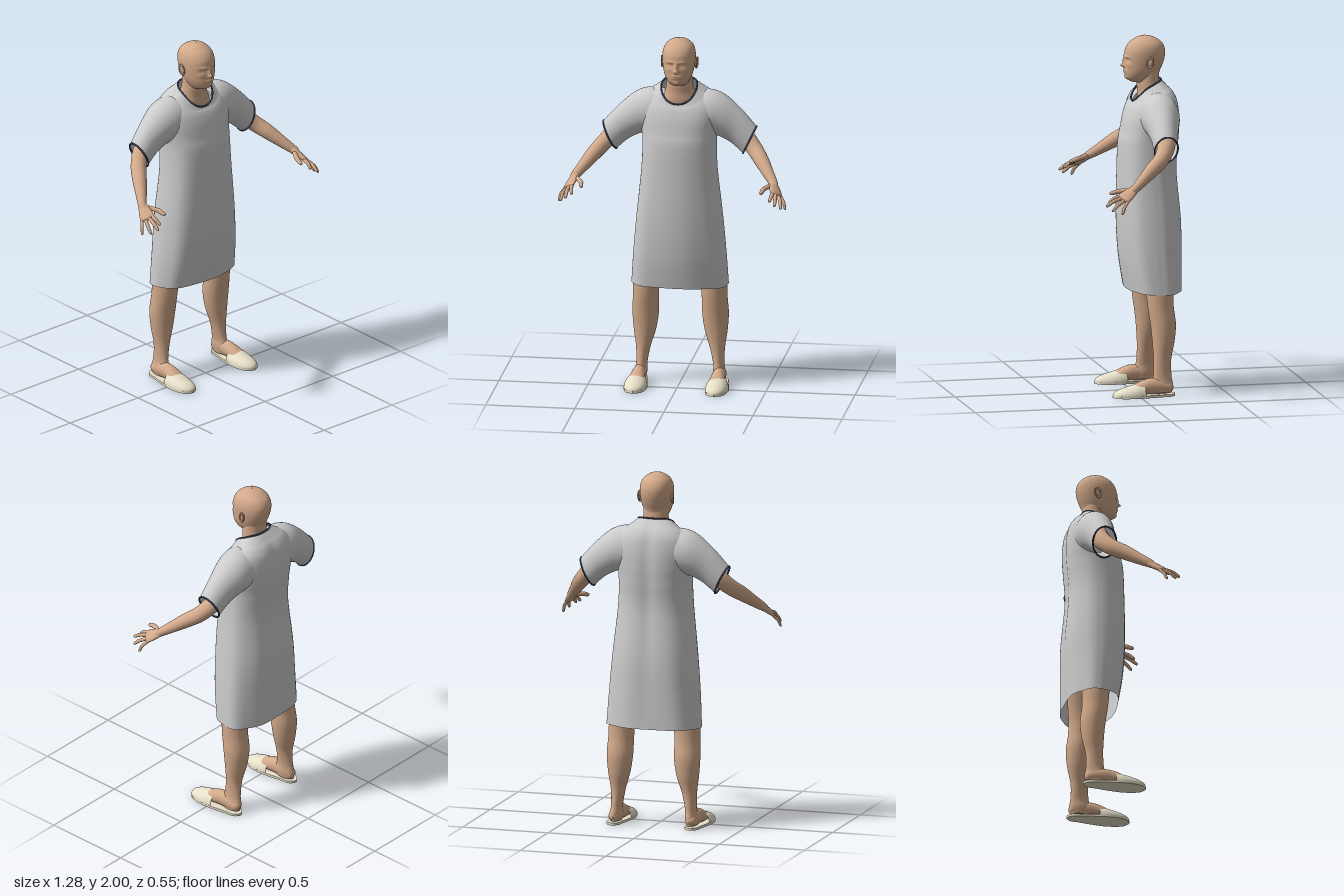
import * as THREE from 'three';
import { ParametricGeometry } from 'three/addons/geometries/ParametricGeometry.js';

const mat = (color, side = THREE.FrontSide) => new THREE.MeshStandardMaterial({ color, side, roughness: 0.8 });
const skin = mat(0xd2a98a);
const cloth = mat(0xcccccc, THREE.DoubleSide);
const trim = mat(0x3f4862);
const cream = mat(0xe6dfc8, THREE.DoubleSide);

// Smooth interpolation through the rows of a cross-section table
function sample(rows, v) {
  const n = rows.length - 1;
  const t = Math.min(Math.max(v, 0), 1) * n;
  const i = Math.min(Math.floor(t), n - 1), f = t - i;
  const p0 = rows[Math.max(i - 1, 0)], p1 = rows[i], p2 = rows[i + 1], p3 = rows[Math.min(i + 2, n)];
  return p1.map((b, k) => {
    const a = p0[k], c = p2[k], d = p3[k];
    return b + 0.5 * f * (c - a + f * (2 * a - 5 * b + 4 * c - d + f * (3 * (b - c) + d - a)));
  });
}
const bend = (c, n) => Math.sign(c) * Math.abs(c) ** (2 / n);

// Upright loft; row: [y, half width, front z, back z, centre x, front drop]
function upright(rows, n = 2) {
  return (u, v, p) => {
    const [y, w, zf, zb, cx = 0, drop = 0] = sample(rows, v);
    const a = u * Math.PI * 2, c = Math.cos(a);
    return p.set(cx + w * bend(Math.sin(a), n), y - drop * ((1 + c) / 2) ** 2,
      (zf + zb) / 2 + (zf - zb) / 2 * bend(c, n));
  };
}

// Tube along a path; row: [x, y, z, radius along ref, radius across]
function limb(rows, ref = new THREE.Vector3(0, 0, 1)) {
  const at = v => new THREE.Vector3(...sample(rows, v));
  return (u, v, p) => {
    const r = sample(rows, v);
    const T = at(v + 0.01).sub(at(v - 0.01)).normalize();
    const A = ref.clone().addScaledVector(T, -ref.dot(T)).normalize();
    const B = T.clone().cross(A), a = u * Math.PI * 2;
    return p.set(r[0], r[1], r[2]).addScaledVector(A, r[3] * Math.cos(a)).addScaledVector(B, r[4] * Math.sin(a));
  };
}

function mirrored(geometry) {
  const g = geometry.clone().scale(-1, 1, 1);
  if (!g.index) g.setIndex([...Array(g.attributes.position.count).keys()]);
  const ix = g.index.array;
  for (let i = 0; i < ix.length; i += 3) [ix[i], ix[i + 1]] = [ix[i + 1], ix[i]];
  return g;
}

// Piping along the open end of a loft
function piping(func) {
  const pts = [...Array(32)].map((_, i) => func(i / 32, 1, new THREE.Vector3()));
  return new THREE.TubeGeometry(new THREE.CatmullRomCurve3(pts, true), 64, 0.005, 6, true);
}

export function createModel() {
  const model = new THREE.Group();
  const add = (name, geometry, material) => {
    const m = new THREE.Mesh(geometry, material);
    m.name = name;
    model.add(m);
  };
  const pair = (name, geometry, material) => {
    add('left' + name, geometry, material);
    add('right' + name, mirrored(geometry), material);
  };
  const surf = (f, s, t) => new ParametricGeometry(f, s, t);

  // Head: egg-shaped loft with the face raised from its front
  const skull = upright([
    [1.738, 0.02, -0.05, -0.1], [1.742, 0.045, -0.005, -0.145], [1.765, 0.062, 0.026, -0.155],
    [1.8, 0.078, 0.034, -0.165], [1.84, 0.087, 0.034, -0.182], [1.885, 0.092, 0.034, -0.194],
    [1.925, 0.09, 0.028, -0.193], [1.96, 0.077, 0.006, -0.175], [1.985, 0.05, -0.03, -0.14],
    [1.997, 0.022, -0.058, -0.104], [2, 0.002, -0.078, -0.082]], 2.1);
  const bumps = [ // x, y, height, x spread, y spread
    [0, 1.834, 0.021, 0.013, 0.011], [0, 1.86, 0.012, 0.009, 0.022], // nose
    [0.034, 1.886, 0.005, 0.024, 0.008], [0.033, 1.867, -0.011, 0.017, 0.01], // brow, socket
    [0.033, 1.866, 0.007, 0.011, 0.006], [0.05, 1.84, 0.004, 0.018, 0.014], // eye, cheek
    [0, 1.801, 0.009, 0.024, 0.01], [0, 1.8, -0.007, 0.022, 0.003], // lips, mouth line
    [0, 1.763, 0.007, 0.02, 0.012]]; // chin
  add('head', surf((u, v, p) => {
    skull(u, v, p);
    if (Math.cos(u * Math.PI * 2) > 0) {
      for (const [x, y, h, sx, sy] of bumps) {
        p.z += h * Math.exp(-(((Math.abs(p.x) - x) / sx) ** 2) - ((p.y - y) / sy) ** 2);
      }
    }
    return p;
  }, 120, 90), skin);
  add('neck', surf(upright([[1.58, 0.13, -0.05, -0.21], [1.64, 0.11, -0.04, -0.2], [1.69, 0.082, -0.04, -0.175],
    [1.74, 0.073, -0.035, -0.162], [1.8, 0.07, -0.04, -0.16]]), 32, 16), skin);

  // Ears: flat shell and raised rim
  const ear = g => g.rotateX(-0.2).rotateY(-0.25).translate(0.093, 1.858, -0.092);
  pair('Ear', ear(new THREE.SphereGeometry(1, 16, 12).scale(0.007, 0.03, 0.017)), skin);
  pair('EarRim', ear(new THREE.TorusGeometry(0.02, 0.0045, 8, 24).rotateY(Math.PI / 2).scale(1, 1.4, 0.85)
    .translate(0.005, 0, 0)), skin);

  // Gown body with soft folds toward the hem
  const body = upright([
    [0.572, 0.27, 0.03, -0.27, 0, -0.008], [0.76, 0.258, 0.06, -0.272, 0, 0], [0.97, 0.24, 0.073, -0.272, 0, 0],
    [1.24, 0.212, 0.07, -0.25, 0, 0], [1.4, 0.206, 0.064, -0.26, 0, 0], [1.48, 0.212, 0.05, -0.265, 0, 0.01],
    [1.57, 0.22, 0.035, -0.264, 0, 0.03], [1.645, 0.212, 0.02, -0.252, 0, 0.06], [1.69, 0.182, 0.008, -0.23, 0, 0.08],
    [1.72, 0.142, 0, -0.202, 0, 0.1], [1.752, 0.1, -0.008, -0.17, 0, 0.117]], 2.35);
  const gown = (u, v, p) => {
    body(u, v, p);
    const a = u * Math.PI * 2, k = 1 + 0.018 * Math.max(0, 1 - v * 1.8) * Math.sin(7 * a + 0.8 + 2 * v);
    p.x *= k;
    p.z = (p.z + 0.1) * k - 0.1;
    // shallow hollow down the spine
    if (Math.cos(a) < 0) p.z += 0.01 * Math.exp(-((p.x / 0.04) ** 2)) * Math.sin(Math.PI * v);
    return p;
  };
  add('gown', surf(gown, 80, 70), cloth);
  add('collarTrim', piping(gown), trim);

  // Sleeves; row: top x, top y, bottom x, bottom y, front z, back z
  const sleeveRows = [[0.08, 1.69, 0.1, 1.45, -0.02, -0.23], [0.17, 1.696, 0.16, 1.44, -0.015, -0.235],
    [0.25, 1.668, 0.212, 1.435, -0.025, -0.228], [0.345, 1.588, 0.285, 1.4, -0.043, -0.2],
    [0.43, 1.495, 0.355, 1.34, -0.048, -0.18]];
  const sleeve = (u, v, p) => {
    const [tx, ty, bx, by, zf, zb] = sample(sleeveRows, v);
    const c = Math.cos(u * Math.PI * 2) / 2, s = Math.sin(u * Math.PI * 2) / 2;
    return p.set((tx + bx) / 2 + (tx - bx) * c, (ty + by) / 2 + (ty - by) * c, (zf + zb) / 2 + (zf - zb) * s);
  };
  pair('Sleeve', surf(sleeve, 40, 28), cloth);
  pair('SleeveTrim', piping(sleeve), trim);

  // Arms
  pair('Arm', surf(limb([[0.27, 1.52, -0.13, 0.055, 0.055], [0.36, 1.44, -0.122, 0.05, 0.05],
    [0.425, 1.375, -0.08, 0.044, 0.045], [0.475, 1.325, -0.015, 0.04, 0.041], [0.52, 1.275, 0.05, 0.031, 0.032],
    [0.555, 1.237, 0.1, 0.024, 0.025], [0.567, 1.22, 0.125, 0.02, 0.02]]), 24, 30), skin);

  // Hands: flat palm, four fingers and thumb
  const across = new THREE.Vector3(0.72, -0.45, -0.45).normalize();
  pair('Palm', surf(limb([[0.552, 1.24, 0.095, 0.022, 0.02], [0.563, 1.222, 0.122, 0.031, 0.018],
    [0.575, 1.203, 0.152, 0.039, 0.016], [0.584, 1.188, 0.177, 0.037, 0.013], [0.588, 1.18, 0.188, 0.004, 0.003]],
  across), 24, 16), skin);
  const digits = {
    Thumb: [[0.55, 1.228, 0.12], [0.515, 1.22, 0.18], [0.502, 1.205, 0.235], 0.013],
    IndexFinger: [[0.563, 1.203, 0.17], [0.562, 1.192, 0.215], [0.555, 1.165, 0.252], 0.0105],
    MiddleFinger: [[0.576, 1.195, 0.17], [0.585, 1.178, 0.228], [0.587, 1.148, 0.274], 0.0105],
    RingFinger: [[0.59, 1.186, 0.162], [0.61, 1.16, 0.21], [0.618, 1.125, 0.247], 0.01],
    LittleFinger: [[0.6, 1.18, 0.15], [0.624, 1.148, 0.176], [0.636, 1.108, 0.192], 0.009]
  };
  for (const [name, [a, b, c, r]] of Object.entries(digits)) {
    const mix = (p, q, t) => p.map((x, i) => x + (q[i] - x) * t);
    pair(name, surf(limb([[...a, r, r], [...b, r, r], [...mix(b, c, 0.6), r * 0.9, r * 0.9],
      [...mix(b, c, 0.92), r * 0.65, r * 0.65], [...c, 0.0005, 0.0005]], across), 12, 16), skin);
  }

  // Legs, and hips hidden by the gown
  pair('Leg', surf(upright([[0.02, 0.03, -0.07, -0.185, 0.222], [0.06, 0.035, -0.06, -0.192, 0.22],
    [0.11, 0.031, -0.08, -0.184, 0.216], [0.2, 0.041, -0.085, -0.183, 0.208], [0.3, 0.063, -0.08, -0.203, 0.2],
    [0.4, 0.074, -0.07, -0.212, 0.196], [0.5, 0.072, -0.055, -0.2, 0.193], [0.6, 0.075, -0.045, -0.2, 0.186],
    [0.75, 0.085, -0.025, -0.215, 0.155], [0.95, 0.095, -0.02, -0.23, 0.11]]), 32, 40), skin);
  add('hips', surf(upright([[0.82, 0.01, -0.1, -0.12], [0.85, 0.12, -0.03, -0.2], [0.95, 0.19, 0.01, -0.235],
    [1.1, 0.17, 0.01, -0.22], [1.2, 0.01, -0.1, -0.12]]), 32, 16), skin);
  pair('Foot', surf(limb([[0.224, 0.045, -0.194, 0.004, 0.004], [0.224, 0.047, -0.175, 0.028, 0.03],
    [0.224, 0.055, -0.11, 0.035, 0.044], [0.224, 0.056, -0.05, 0.038, 0.044], [0.226, 0.042, 0.02, 0.045, 0.03],
    [0.228, 0.03, 0.08, 0.035, 0.012]], new THREE.Vector3(1, 0, 0)), 24, 20), skin);

  // Slippers: flat sole and rounded toe cover, open at the heel
  const half = [[0.045, -0.125], [0.064, -0.04], [0.056, 0.05], [0.043, 0.12], [0.035, 0.175]];
  const outline = new THREE.Shape().moveTo(0, -0.155);
  outline.splineThru([...half, [0, 0.202], ...half.map(([x, y]) => [-x, y]).reverse(), [0, -0.155]]
    .map(q => new THREE.Vector2(...q)));
  pair('SlipperSole', new THREE.ExtrudeGeometry(outline, { depth: 0.014, bevelEnabled: false, curveSegments: 40 })
    .rotateX(-Math.PI / 2).translate(0.228, 0, 0), cream);
  const toeRows = [[-0.025, 0.058, 0.063], [0.02, 0.064, 0.06], [0.07, 0.061, 0.047], [0.115, 0.049, 0.033],
    [0.143, 0.027, 0.018], [0.153, 0.002, 0.002]];
  pair('SlipperUpper', surf((u, v, p) => {
    const [z, w, h] = sample(toeRows, v), a = u * Math.PI;
    return p.set(0.228 + w * Math.cos(a), 0.012 + h * Math.sin(a), z);
  }, 28, 24), cream);

  return model;
}
